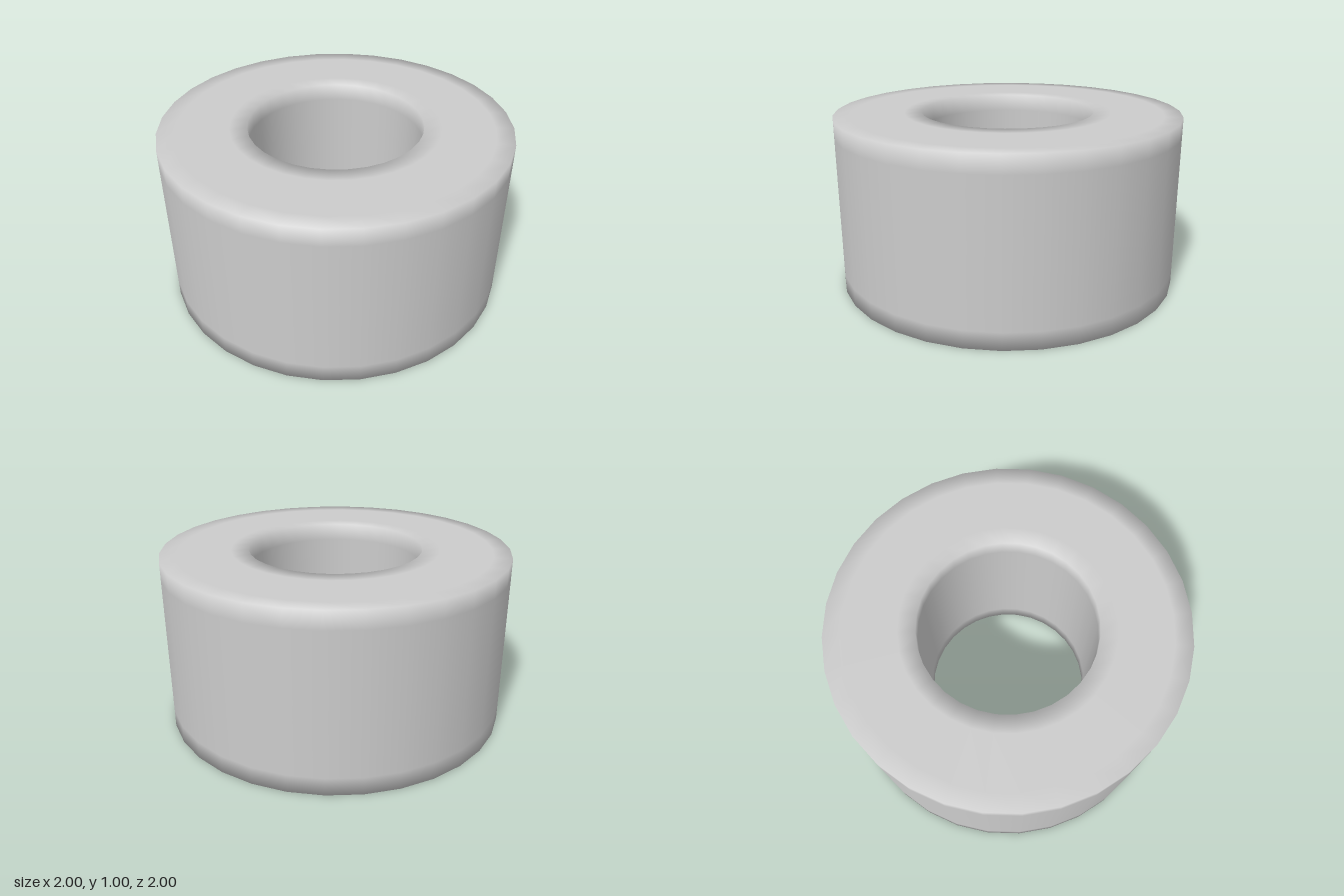
import * as THREE from 'three';

const OUTER = 1, INNER = 0.5, HEIGHT = 1, LOOP = 0.1, SIDES = 32;

export function createModel() {
  const group = new THREE.Group();
  group.name = 'ring';

  // Closed rectangular section with support loops beside each corner,
  // so that smooth shading stays within a narrow band at the edges.
  const profile = [
    [OUTER, HEIGHT / 2],
    [OUTER, HEIGHT - LOOP], [OUTER, HEIGHT], [OUTER - LOOP, HEIGHT],
    [INNER + LOOP, HEIGHT], [INNER, HEIGHT], [INNER, HEIGHT - LOOP],
    [INNER, LOOP], [INNER, 0], [INNER + LOOP, 0],
    [OUTER - LOOP, 0], [OUTER, 0], [OUTER, LOOP],
    [OUTER, HEIGHT / 2],
  ].map(([r, y]) => new THREE.Vector2(r, y));

  // Thick hollow cylinder
  const body = new THREE.Mesh(
    new THREE.LatheGeometry(profile, SIDES),
    new THREE.MeshStandardMaterial({ color: 0xcccccc })
  );
  body.name = 'ringBody';
  group.add(body);
  return group;
}
